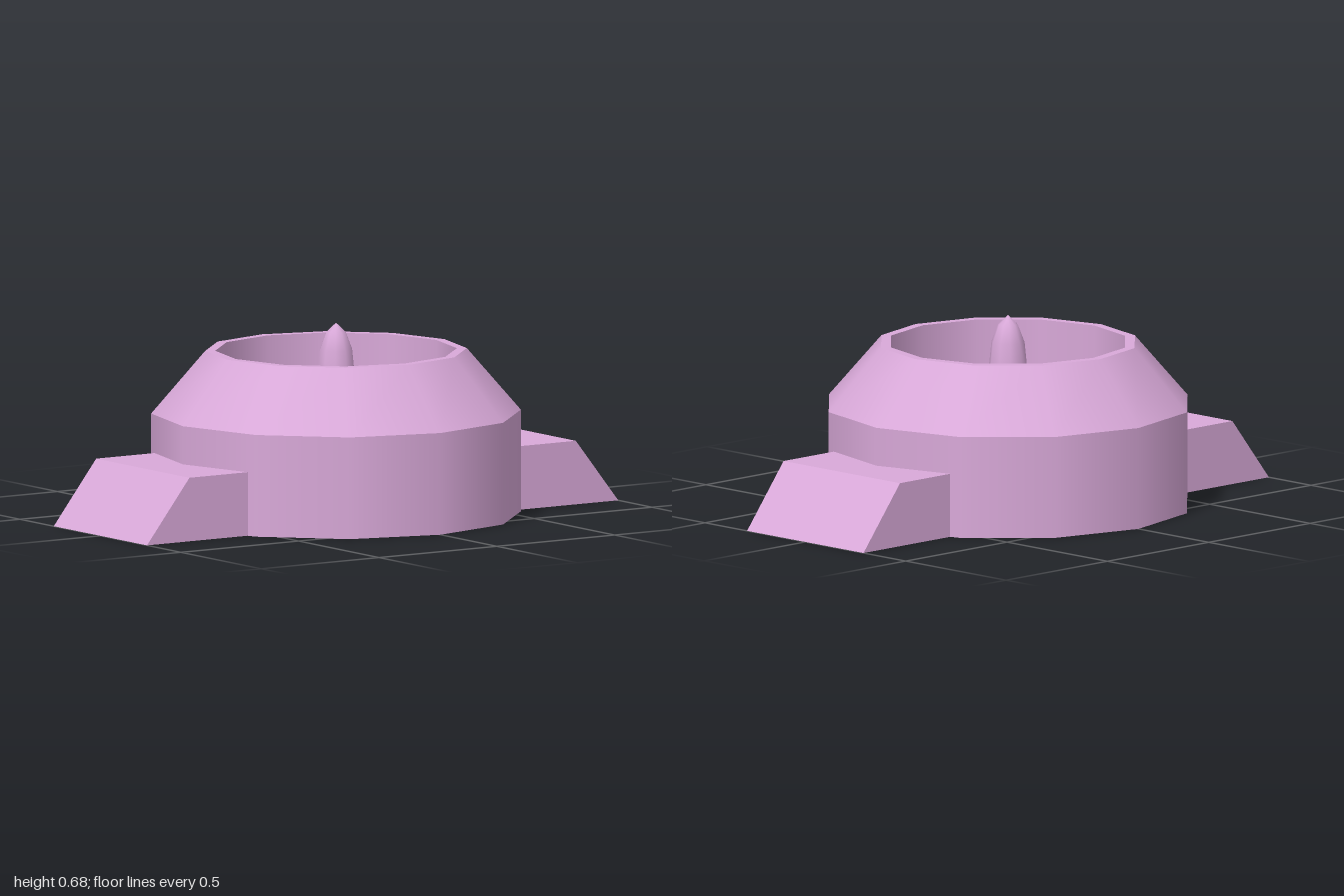
import * as THREE from 'three';
import { mergeVertices } from 'three/addons/utils/BufferGeometryUtils.js';

const material = new THREE.MeshStandardMaterial({ color: 0xd9a9d9, side: THREE.DoubleSide });

function add(parent, name, geometry, x = 0, y = 0, z = 0) {
  const mesh = new THREE.Mesh(geometry, material);
  mesh.name = name;
  mesh.position.set(x, y, z);
  parent.add(mesh);
  return mesh;
}

// Open twelve-sided wall between two heights
function band(parent, name, rBottom, rTop, y0, y1) {
  add(parent, name, new THREE.CylinderGeometry(rTop, rBottom, y1 - y0, 12, 1, true), 0, (y0 + y1) / 2, 0);
}

// Comma-shaped blade: a sphere whose equator follows a closed outline
function wideBladeGeometry() {
  const outline = new THREE.CatmullRomCurve3([
    [-0.03, 0.04], [-0.11, 0.09], [-0.2, 0.105], [-0.3, 0.11], [-0.335, 0.16], [-0.29, 0.26],
    [-0.2, 0.33], [-0.12, 0.325], [-0.07, 0.26], [-0.065, 0.18], [-0.05, 0.1],
  ].map(([x, z]) => new THREE.Vector3(x, 0, z)), true);
  const geometry = new THREE.SphereGeometry(1, 40, 14);
  const { position, uv } = geometry.attributes;
  const centre = new THREE.Vector3(-0.19, 0, 0.2);
  for (let i = 0; i < position.count; i++) {
    const polar = (1 - uv.getY(i)) * Math.PI;
    const u = ((uv.getX(i) % 1) + 1) % 1;
    const p = outline.getPoint(u).sub(centre).multiplyScalar(Math.sin(polar)).add(centre);
    position.setXYZ(i, p.x, 0.035 * Math.cos(polar), p.z);
  }
  geometry.deleteAttribute('uv');
  geometry.deleteAttribute('normal');
  const merged = mergeVertices(geometry, 1e-5);
  merged.computeVertexNormals();
  return merged;
}

export function createModel() {
  const model = new THREE.Group();
  model.name = 'ductedFan';

  // Housing: outer wall, sloped shoulder, flat rim and inner duct wall
  const housing = new THREE.Group();
  housing.name = 'housing';
  model.add(housing);
  band(housing, 'outerWall', 0.65, 0.65, 0, 0.36);
  band(housing, 'shoulder', 0.65, 0.46, 0.36, 0.58);
  band(housing, 'innerWall', 0.425, 0.425, 0, 0.58);
  add(housing, 'rim', new THREE.RingGeometry(0.425, 0.46, 12).rotateX(-Math.PI / 2), 0, 0.58, 0);

  // Hollow cross beam, open underneath, with sloping ends
  const beam = new THREE.Group();
  beam.name = 'crossBeam';
  model.add(beam);
  const [h, halfTop, halfDepth] = [0.225, 0.82, 0.29];
  const side = new THREE.Shape([[-1, 0], [1, 0], [halfTop, h], [-halfTop, h]].map(p => new THREE.Vector2(...p)));
  add(beam, 'beamTop', new THREE.PlaneGeometry(2 * halfTop, 2 * halfDepth).rotateX(-Math.PI / 2), 0, h, 0);
  const run = 1 - halfTop;
  for (const s of [1, -1]) {
    const wall = add(beam, 'beamSide', new THREE.ShapeGeometry(side), 0, 0, s * halfDepth);
    wall.rotation.y = s > 0 ? 0 : Math.PI;
    const slope = new THREE.PlaneGeometry(Math.hypot(run, h), 2 * halfDepth).rotateX(-Math.PI / 2);
    add(beam, 'beamEnd', slope, s * (1 + halfTop) / 2, h / 2, 0).rotation.z = -s * Math.atan2(h, run);
  }

  // Fan: pointed hub, four wide curved blades, three slim blades above
  const fan = new THREE.Group();
  fan.name = 'fan';
  model.add(fan);
  const hub = [[0.072, 0.2], [0.072, 0.45], [0.059, 0.58], [0.035, 0.642], [0, 0.675]];
  add(fan, 'hub', new THREE.LatheGeometry(hub.map(p => new THREE.Vector2(...p)), 10));

  const wide = wideBladeGeometry();
  for (let i = 0; i < 4; i++) add(fan, 'wideBlade', wide, 0, 0.34, 0).rotation.y = i * Math.PI / 2;

  const slim = new THREE.SphereGeometry(1, 20, 14).scale(0.05, 0.028, 0.18).translate(0, 0, 0.215);
  for (let i = 0; i < 3; i++) add(fan, 'slimBlade', slim, 0, 0.39, 0).rotation.y = i * Math.PI * 2 / 3;

  return model;
}
